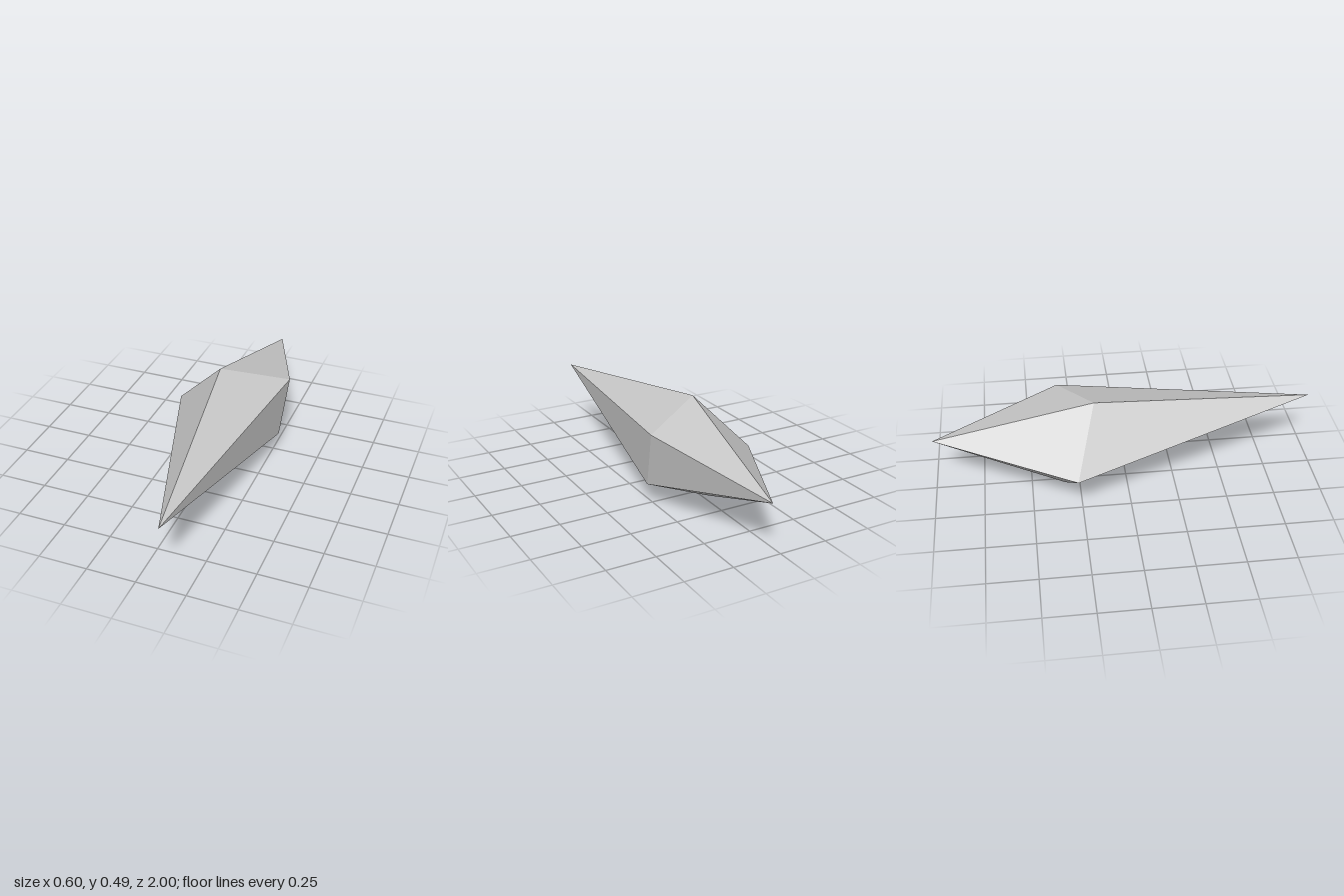
import * as THREE from 'three';

export function createModel() {
  const model = new THREE.Group();
  model.name = 'crystalShard';
  const stone = new THREE.MeshStandardMaterial({ color: 0xc6c6c6 });
  stone.name = 'pale grey stone';

  // Uneven five-sided girdle, counter-clockwise as seen from the front
  const girdle = [
    [-0.028, 0.49, -0.165],
    [-0.301, 0.2, -0.272],
    [-0.034, 0, -0.325],
    [0.278, 0.104, -0.25],
    [0.301, 0.4, -0.337],
  ];
  const frontTip = [0.125, 0.347, 1];
  const backTip = [0.053, 0.263, -1];

  // Fan of facets from each tip to the girdle
  const positions = [];
  girdle.forEach((corner, i) => {
    const next = girdle[(i + 1) % girdle.length];
    positions.push(...frontTip, ...corner, ...next);
    positions.push(...backTip, ...next, ...corner);
  });

  // Unshared corners keep every facet flat
  const geometry = new THREE.BufferGeometry();
  geometry.setAttribute('position', new THREE.Float32BufferAttribute(positions, 3));
  geometry.computeVertexNormals();

  const shard = new THREE.Mesh(geometry, stone);
  shard.name = 'shard';
  model.add(shard);
  return model;
}
